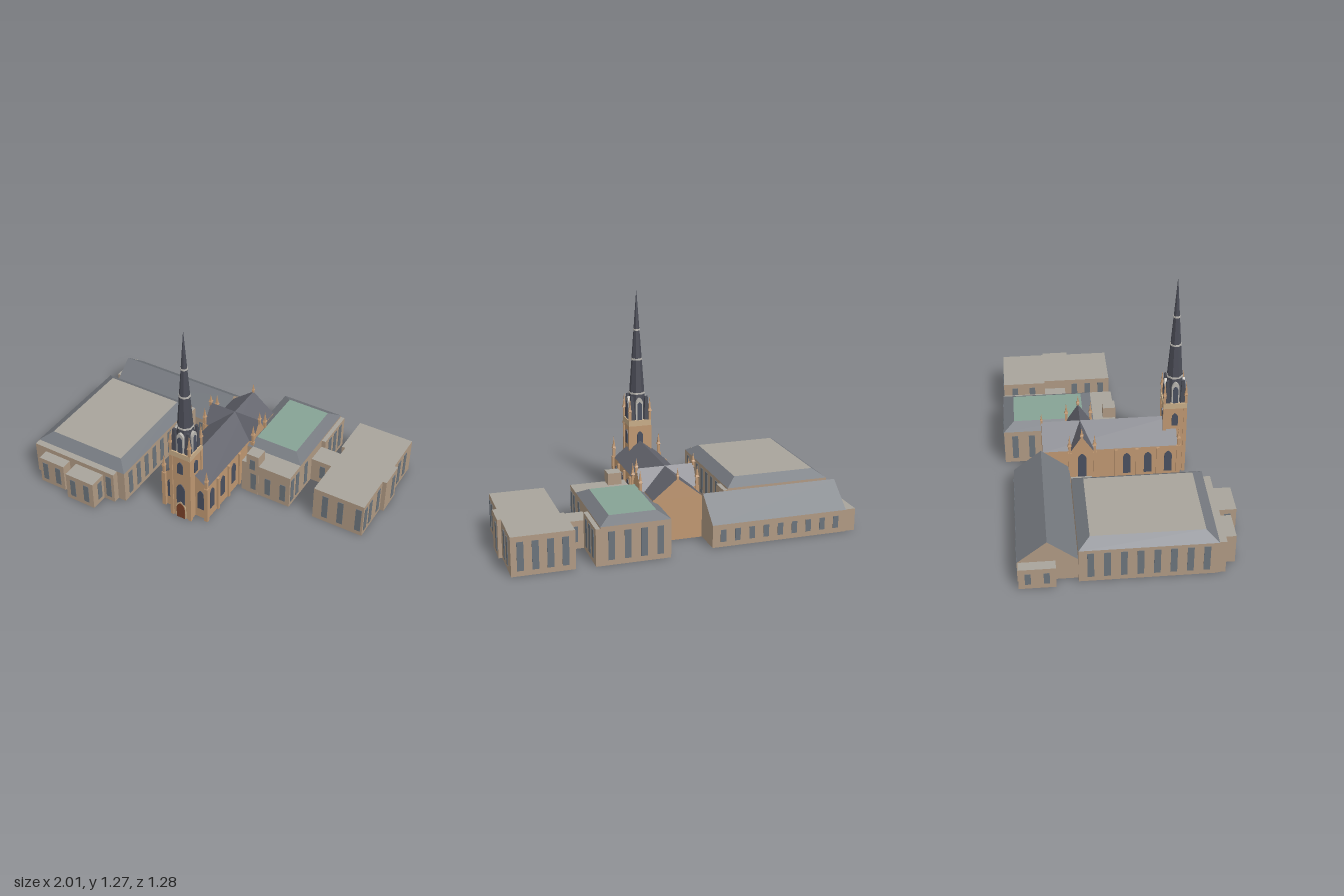
import * as THREE from 'three';

const mat = (color) => new THREE.MeshStandardMaterial({ color, flatShading: true, side: THREE.DoubleSide });
const M = {
  wall: mat(0xb09a84), stone: mat(0xc09872), trim: mat(0xc8ad88), slate: mat(0x74787e),
  darkSlate: mat(0x62636c), spire: mat(0x4b4d57), flat: mat(0xa8a49b), green: mat(0x86a395),
  glass: mat(0x6c747c), lancet: mat(0x4a5060), door: mat(0x7a4028), band: mat(0xb9b6b0),
};
const CX = 0.005, TZ = 0.37; // church axis and tower centre

export function createModel() {
  const root = new THREE.Group();

  function add(parent, name, geo, material, x = 0, y = 0, z = 0, ry = 0) {
    const m = new THREE.Mesh(geo, material);
    m.name = name;
    m.position.set(x, y, z);
    m.rotation.y = ry;
    parent.add(m);
    return m;
  }
  function group(name) {
    const g = new THREE.Group();
    g.name = name;
    root.add(g);
    return g;
  }

  // Chosen sides of a box (0 +x, 1 -x, 2 top, 3 bottom, 4 +z, 5 -z); top shrinks by insets
  function sides(list, [x0, x1, z0, z1], y0, y1, insetX = 0, insetZ = 0) {
    const geo = new THREE.BoxGeometry(x1 - x0, y1 - y0, z1 - z0);
    const p = geo.attributes.position, idx = geo.index.array;
    for (let i = 0; i < p.count; i++) {
      if (p.getY(i) > 0) {
        p.setX(i, p.getX(i) - Math.sign(p.getX(i)) * insetX);
        p.setZ(i, p.getZ(i) - Math.sign(p.getZ(i)) * insetZ);
      }
    }
    geo.translate((x0 + x1) / 2, (y0 + y1) / 2, (z0 + z1) / 2);
    geo.setIndex(list.flatMap((f) => [...idx.slice(f * 6, f * 6 + 6)]));
    geo.clearGroups();
    geo.computeVertexNormals();
    return geo;
  }
  const AROUND = [0, 1, 4, 5];
  const walls = (g, r, h, m = M.wall) => add(g, 'walls', sides(AROUND, r, 0, h), m);

  function flatBlock(g, r, h) {
    walls(g, r, h);
    add(g, 'flatRoof', sides([2], r, 0, h), M.flat);
  }
  function hippedRoof(g, r, y0, y1, inset, topMat) {
    add(g, 'roofSlopes', sides(AROUND, r, y0, y1, inset, inset), M.slate);
    add(g, 'roofTop', sides([2], r, y0, y1, inset, inset), topMat);
  }
  function gabledRoof(g, r, y0, y1, alongX, roofMat, gableMat) {
    const ix = alongX ? 0 : (r[1] - r[0]) / 2, iz = alongX ? (r[3] - r[2]) / 2 : 0;
    const slopes = alongX ? [4, 5] : [0, 1], ends = alongX ? [0, 1] : [4, 5];
    add(g, 'roofSlopes', sides(slopes, r, y0, y1, ix, iz), roofMat);
    add(g, 'gables', sides(ends, r, y0, y1, ix, iz), gableMat);
  }

  // Rows of plain windows on a wall: axis 'x' runs along x at z = at, 'z' along z at x = at
  function windows(g, axis, at, list, y0 = 0.03, y1 = 0.19, w = 0.036) {
    const t = 0.006;
    const geo = axis === 'x' ? new THREE.BoxGeometry(w, y1 - y0, t) : new THREE.BoxGeometry(t, y1 - y0, w);
    for (const s of list) add(g, 'window', geo, M.glass, axis === 'x' ? s : at, (y0 + y1) / 2, axis === 'x' ? at : s);
  }
  const spread = (a, b, n) => Array.from({ length: n }, (_, i) => a + ((b - a) * (i + 0.5)) / n);

  // Pointed arch panel standing on its base
  function arch(g, name, w, h, m, x, y, z, ry = 0, depth = 0.008) {
    const s = new THREE.Shape();
    s.moveTo(-w / 2, 0);
    s.lineTo(w / 2, 0);
    s.lineTo(w / 2, h - w * 0.8);
    s.quadraticCurveTo(w / 2, h - w * 0.3, 0, h);
    s.quadraticCurveTo(-w / 2, h - w * 0.3, -w / 2, h - w * 0.8);
    const geo = new THREE.ExtrudeGeometry(s, { depth, bevelEnabled: false, curveSegments: 5 });
    geo.translate(0, 0, -depth / 2);
    return add(g, name, geo, m, x, y, z, ry);
  }
  // Square shaft with a collar and a tall point
  function pinnacle(g, x, z, y0, y1, r) {
    const h = y1 - y0;
    const pts = [[r * 0.75, 0], [r * 0.75, h * 0.4], [r * 1.15, h * 0.42], [r * 0.7, h * 0.52], [0.0005, h]];
    add(g, 'pinnacle', new THREE.LatheGeometry(pts.map((p) => new THREE.Vector2(...p)), 4, Math.PI / 4), M.stone, x, y0, z);
  }
  const post = (g, name, x, z, w, d, h) => add(g, name, new THREE.BoxGeometry(w, h, d), M.stone, x, h / 2, z);

  // Large hall with front porches
  const hall = group('westHall');
  const hr = [-0.97, -0.35, -0.26, 0.49];
  walls(hall, hr, 0.21);
  hippedRoof(hall, hr, 0.21, 0.255, 0.065, M.flat);
  flatBlock(hall, [-0.965, -0.4, 0.49, 0.53], 0.21);
  flatBlock(hall, [-0.89, -0.715, 0.53, 0.595], 0.18);
  flatBlock(hall, [-0.668, -0.475, 0.53, 0.635], 0.18);
  flatBlock(hall, [-0.35, -0.325, -0.26, -0.14], 0.2);
  windows(hall, 'x', 0.595, [-0.85, -0.76], 0.03, 0.15);
  windows(hall, 'x', 0.635, [-0.62, -0.525], 0.03, 0.15);
  windows(hall, 'x', 0.53, [-0.437], 0.03, 0.18);
  windows(hall, 'z', -0.475, [0.57], 0.03, 0.15);
  windows(hall, 'z', -0.668, [0.585], 0.03, 0.15);
  windows(hall, 'z', -0.97, spread(-0.24, 0.47, 8));
  windows(hall, 'z', -0.35, spread(-0.12, 0.47, 7));

  // Long low wing with a ridge roof
  const wing = group('northWing');
  const wr = [-0.94, -0.14, -0.585, -0.26];
  walls(wing, wr, 0.13);
  gabledRoof(wing, wr, 0.13, 0.26, true, M.slate, M.wall);
  flatBlock(wing, [-1, -0.94, -0.58, -0.38], 0.13);
  windows(wing, 'x', -0.585, spread(-0.92, -0.16, 9), 0.03, 0.1, 0.032);
  windows(wing, 'x', -0.26, [-0.28, -0.205], 0.03, 0.1, 0.032);
  windows(wing, 'z', -1, [-0.53, -0.43], 0.03, 0.1, 0.032);

  // Hall with the green roof, its annexe and stair box
  const east = group('eastHall');
  const er = [0.115, 0.505, -0.635, -0.09];
  walls(east, er, 0.22);
  hippedRoof(east, er, 0.22, 0.257, 0.063, M.green);
  flatBlock(east, [0.505, 0.53, -0.635, -0.37], 0.21);
  flatBlock(east, [0.185, 0.505, -0.09, 0.043], 0.22);
  flatBlock(east, [0.218, 0.298, -0.03, 0.046], 0.29);
  flatBlock(east, [0.505, 0.66, -0.37, -0.24], 0.162);
  windows(east, 'x', 0.043, [0.265, 0.36, 0.46], 0.03, 0.15);
  windows(east, 'x', 0.046, [0.258], 0.185, 0.255, 0.034);
  windows(east, 'z', 0.505, [0.01, -0.055, -0.165]);
  windows(east, 'z', 0.53, spread(-0.61, -0.4, 3));
  windows(east, 'x', -0.635, spread(0.13, 0.49, 4));
  windows(east, 'z', 0.115, spread(-0.62, -0.42, 2));
  windows(east, 'x', -0.24, [0.58], 0.04, 0.13, 0.034);
  windows(east, 'x', -0.37, [0.58], 0.04, 0.13, 0.034);

  // Plain block at the far side
  const block = group('eastBlock');
  flatBlock(block, [0.637, 0.98, -0.63, -0.37], 0.22);
  flatBlock(block, [0.66, 0.975, -0.37, 0.043], 0.22);
  flatBlock(block, [0.975, 1, -0.37, -0.21], 0.22);
  windows(block, 'x', 0.043, [0.735, 0.832, 0.945]);
  windows(block, 'x', -0.63, spread(0.65, 0.97, 4));
  windows(block, 'z', 0.975, [0.01, -0.055, -0.165]);
  windows(block, 'z', 1, [-0.32]);
  windows(block, 'z', 0.98, [-0.45, -0.535]);
  windows(block, 'z', 0.66, spread(-0.22, 0.03, 3));
  windows(block, 'z', 0.637, [-0.45, -0.56]);

  // Church nave and crossing arm
  const church = group('church');
  const nr = [-0.138, 0.148, -0.412, 0.38], tr = [-0.163, 0.173, -0.258, -0.11];
  walls(church, nr, 0.245, M.stone);
  gabledRoof(church, nr, 0.245, 0.36, false, M.darkSlate, M.stone);
  walls(church, tr, 0.245, M.stone);
  gabledRoof(church, tr, 0.245, 0.36, true, M.darkSlate, M.stone);
  pinnacle(church, CX, -0.41, 0.34, 0.42, 0.01);
  for (const s of [-1, 1]) {
    for (const z of [0.325, 0.205, 0.08]) arch(church, 'naveWindow', 0.045, 0.145, M.lancet, CX + s * 0.143, 0.065, z, Math.PI / 2);
    for (const z of [0.385, 0.263, 0.14, 0.015]) post(church, 'buttress', CX + s * 0.146, z, 0.018, 0.018, 0.24);
    post(church, 'frontButtress', CX + s * 0.143, 0.385, 0.024, 0.024, 0.25);
    pinnacle(church, CX + s * 0.143, 0.385, 0.25, 0.375, 0.014);
    arch(church, 'frontWindow', 0.042, 0.14, M.lancet, CX + s * 0.102, 0.068, 0.38);
    for (const z of [-0.11, -0.256]) {
      post(church, 'crossingButtress', CX + s * 0.168, z, 0.02, 0.02, 0.25);
      pinnacle(church, CX + s * 0.168, z, 0.25, 0.37, 0.014);
    }
    pinnacle(church, CX + s * 0.169, -0.184, 0.335, 0.42, 0.013);
    arch(church, 'crossingWindow', 0.05, 0.17, M.lancet, CX + s * 0.168, 0.07, -0.184, Math.PI / 2);
  }

  // Tower
  const tower = group('tower');
  tower.position.set(CX, 0, TZ);
  walls(tower, [-0.063, 0.063, -0.063, 0.063], 0.46, M.stone);
  add(tower, 'parapet', new THREE.BoxGeometry(0.138, 0.035, 0.138), M.trim, 0, 0.4725, 0);
  for (const sx of [-1, 1]) for (const sz of [-1, 1]) {
    post(tower, 'cornerButtress', sx * 0.06, sz * 0.06, 0.02, 0.02, 0.456);
    pinnacle(tower, sx * 0.062, sz * 0.062, 0.48, 0.635, 0.013);
    add(tower, 'broach', new THREE.CylinderGeometry(0.011, 0.023, 0.145, 4), M.spire, sx * 0.045, 0.5625, sz * 0.045, Math.PI / 4);
  }
  for (let i = 0; i < 4; i++) {
    const a = (i * Math.PI) / 2, at = (d) => [Math.sin(a) * d, Math.cos(a) * d];
    const place = (name, w, h, m, y, d, depth) => arch(tower, name, w, h, m, at(d)[0], y, at(d)[1], a, depth);
    place('belfryWindow', 0.036, 0.085, M.lancet, 0.335, 0.064);
    place('dormerFrame', 0.044, 0.14, M.band, 0.488, 0.048, 0.024);
    place('dormerOpening', 0.03, 0.112, M.lancet, 0.49, 0.0595);
  }
  arch(tower, 'towerWindow', 0.054, 0.15, M.lancet, 0, 0.105, 0.064);
  arch(tower, 'doorFrame', 0.066, 0.122, M.trim, 0, 0, 0.065, 0, 0.008);
  arch(tower, 'door', 0.054, 0.11, M.door, 0, 0, 0.068);

  // Octagonal spire with stone bands
  const slope = 0.058 / 0.78, turn = Math.PI / 8;
  add(tower, 'spire', new THREE.CylinderGeometry(0.001, 0.058, 0.78, 8), M.spire, 0, 0.88, 0, turn);
  for (const y of [0.65, 0.858, 1.037]) {
    const r = (1.27 - y) * slope + 0.004;
    add(tower, 'spireBand', new THREE.CylinderGeometry(r - 0.001, r, 0.01, 8), M.band, 0, y, 0, turn);
  }
  return root;
}
